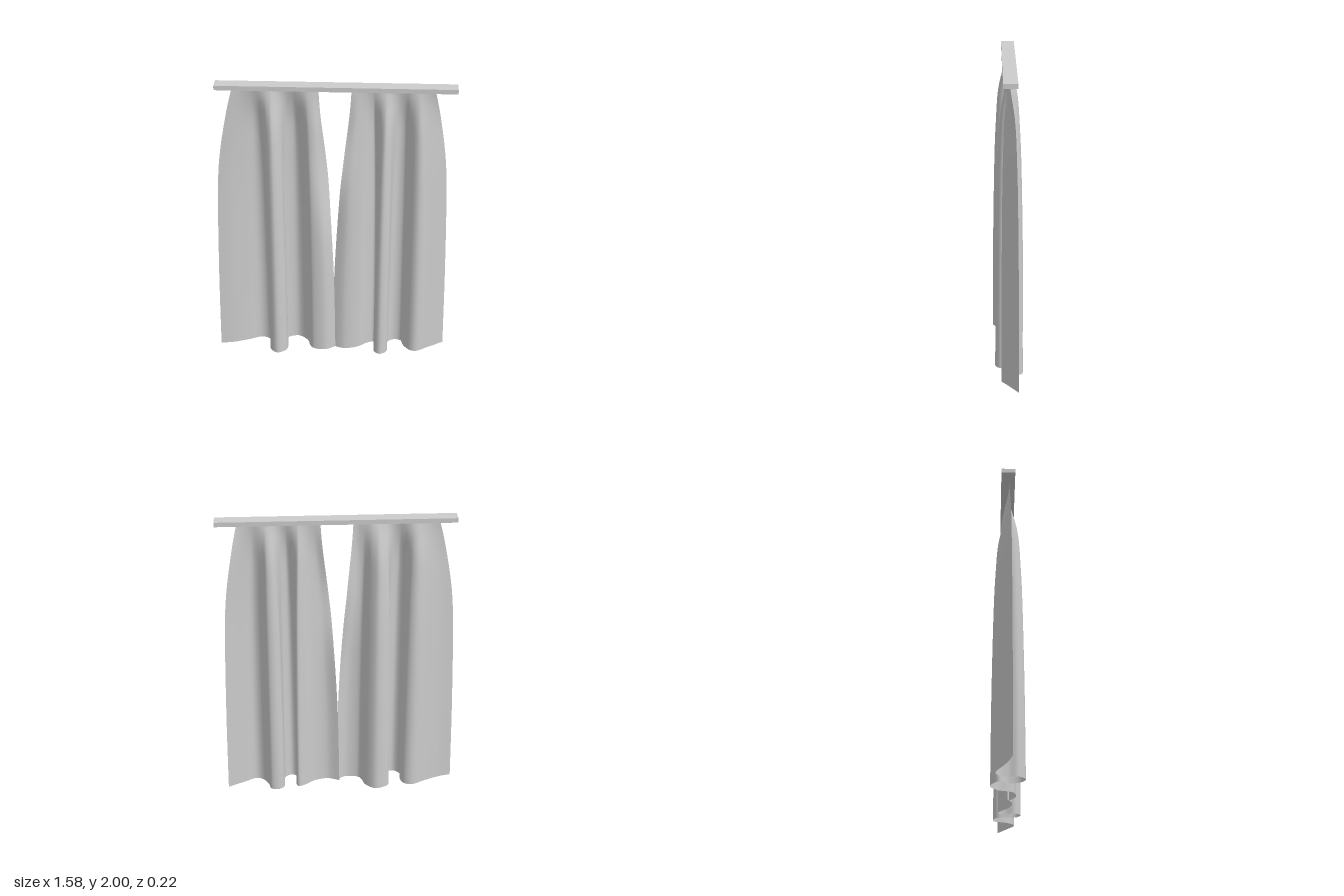
import * as THREE from 'three';

const TOP = 1.97;
const cloth = new THREE.MeshStandardMaterial({ color: 0xcccccc, side: THREE.DoubleSide });
const solid = new THREE.MeshStandardMaterial({ color: 0xcccccc });

// Smooth function through [y, value] points
function profile(points) {
  const curve = new THREE.SplineCurve(points.map(([y, v]) => new THREE.Vector2(y, v)));
  const samples = curve.getPoints(120);
  return (y) => {
    let i = 1;
    while (i < samples.length - 1 && samples[i].x < y) i++;
    const a = samples[i - 1], b = samples[i];
    return THREE.MathUtils.lerp(a.y, b.y, THREE.MathUtils.clamp((y - a.x) / (b.x - a.x), 0, 1));
  };
}

// How far the gathered top has spread into the hem shape at each height
const outerSpread = profile([[0, 1], [0.6, 0.93], [1.2, 0.8], [1.5, 0.64], [1.8, 0.28], [TOP, 0]]);
const innerSpread = profile([[0, 1], [0.6, 0.9], [1.2, 0.62], [1.5, 0.38], [1.8, 0.1], [TOP, 0]]);
const foldDepth = profile([[0, 1], [0.6, 0.96], [1.2, 0.86], [1.5, 0.75], [1.75, 0.56], [TOP, 0]]);

// Curtain panel: hem curve (x, z) below, drawn into a straight pleated line at the top
function curtain(name, hem, topLeft, topRight, innerIsRight, curl) {
  const curve = new THREE.SplineCurve(hem.map(([x, z]) => new THREE.Vector2(x, z)));
  curve.arcLengthDivisions = 400;
  const cols = 120, rows = 40;
  const geo = new THREE.PlaneGeometry(1, 1, cols, rows);
  const pos = geo.attributes.position;
  const hemPoints = curve.getSpacedPoints(cols);
  for (let r = 0; r <= rows; r++) {
    for (let c = 0; c <= cols; c++) {
      const t = c / cols;
      const inner = innerIsRight ? t : 1 - t;
      const hemY = 0.003 + 0.012 * (1 - inner) ** 4;
      const y = THREE.MathUtils.lerp(TOP, hemY, r / rows);
      const spread = THREE.MathUtils.lerp(outerSpread(y), innerSpread(y), inner);
      const x = THREE.MathUtils.lerp(THREE.MathUtils.lerp(topLeft, topRight, t), hemPoints[c].x, spread);
      // inner edge curls gently part way up
      const bend = curl * Math.max(0, inner * 6 - 5) ** 2 * Math.exp(-(((y - 1.4) / 0.3) ** 2));
      pos.setXYZ(r * (cols + 1) + c, x, y, hemPoints[c].y * foldDepth(y) + bend);
    }
  }
  geo.computeVertexNormals();
  const mesh = new THREE.Mesh(geo, cloth);
  mesh.name = name;
  return mesh;
}

export function createModel() {
  const group = new THREE.Group();
  group.name = 'curtains';

  // Flat rail
  const rail = new THREE.Mesh(new THREE.BoxGeometry(1.54, 0.03, 0.09), solid);
  rail.name = 'curtainRail';
  rail.position.set(0.02, 1.985, -0.006);
  group.add(rail);

  // Panel on the -x side
  group.add(curtain('rightCurtain', [
    [-0.79, 0.02], [-0.7, 0], [-0.6, -0.04], [-0.51, -0.08], [-0.45, -0.06], [-0.43, 0],
    [-0.435, 0.06], [-0.385, 0.105], [-0.325, 0.07], [-0.315, 0], [-0.345, -0.06], [-0.3, -0.1],
    [-0.24, -0.11], [-0.18, -0.06], [-0.16, 0], [-0.13, 0.04], [-0.05, 0.05], [0.02, 0.01],
  ], -0.64, -0.09, true, -0.06));

  // Panel on the +x side
  group.add(curtain('leftCurtain', [
    [0, 0], [0.08, 0.03], [0.17, 0.01], [0.24, -0.04], [0.29, -0.06], [0.305, -0.01],
    [0.29, 0.05], [0.33, 0.09], [0.38, 0.06], [0.385, 0], [0.39, -0.06], [0.43, -0.09],
    [0.48, -0.08], [0.5, -0.02], [0.54, 0.035], [0.59, 0.05], [0.66, 0.01], [0.78, -0.06],
  ], 0.12, 0.65, false, 0.04));

  return group;
}
